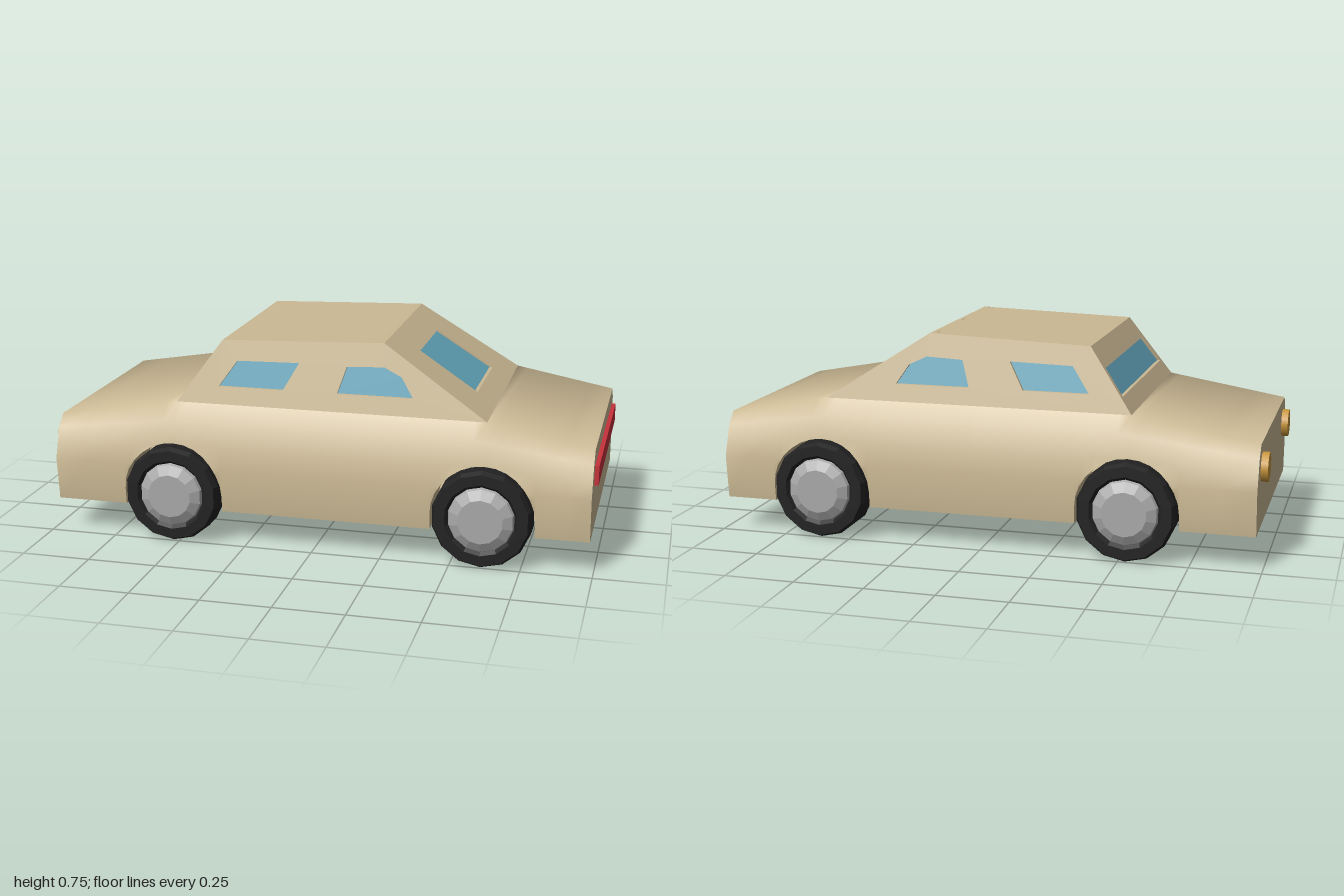
import * as THREE from 'three';
import { toCreasedNormals } from 'three/addons/utils/BufferGeometryUtils.js';

const mat = (color, extra = {}) => new THREE.MeshStandardMaterial({ color, ...extra });
const lerp = THREE.MathUtils.lerp;
const FLOOR = 0.12, BELT = 0.505, AXLES = [-0.525, 0.61], ARCH = 0.185, AXLE_Y = 0.178;
const FRONT = -0.975, REAR = 0.985, WELL_Z = 0.3;

// Height of the body's upper edge along its length
function beltY(x) {
  if (x < AXLES[0]) return lerp(0.43, BELT, (x - FRONT) / (AXLES[0] - FRONT));
  if (x > AXLES[1]) return lerp(BELT, 0.435, (x - AXLES[1]) / (REAR - AXLES[1]));
  return BELT;
}

// Half width of the lower body at a height
function halfWidth(y, top) {
  if (y < 0.28) return lerp(0.475, 0.49, (y - FLOOR) / 0.16);
  const s = (y - 0.28) / (top - 0.28);
  return s < 0.72 ? lerp(0.49, 0.45, s / 0.72) : lerp(0.45, 0.41, (s - 0.72) / 0.28);
}

// Ring of [z, y] points from the +z sill over the top to the -z sill
function section(x, sill) {
  const top = beltY(x);
  const half = [FLOOR, 0.28, ...[0.36, 0.72, 1].map(s => lerp(0.28, top, s))].map(level => {
    const y = Math.max(sill, level);
    return [halfWidth(y, top), y];
  });
  return [...half, ...half.map(([z, y]) => [-z, y]).reverse()];
}

// Points of a wheel arch, from front to back
function archPoints(cx, n = 14) {
  return Array.from({ length: n + 1 }, (_, i) => {
    const a = Math.PI * (1 - i / n);
    return [cx + ARCH * Math.cos(a), AXLE_Y + ARCH * Math.sin(a)];
  });
}

// Surface through rings of equal length; skip(i, j) leaves out a quad
function loft(rings, skip = () => false) {
  const n = rings[0].length, index = [];
  for (let i = 0; i < rings.length - 1; i++)
    for (let j = 0; j < n - 1; j++) {
      if (skip(i, j)) continue;
      const a = i * n + j, b = a + n;
      index.push(a, b, b + 1, a, b + 1, a + 1);
    }
  const g = new THREE.BufferGeometry();
  g.setAttribute('position', new THREE.Float32BufferAttribute(rings.flat(2), 3));
  g.setIndex(index);
  return toCreasedNormals(g, 1.05);
}

// Moves every vertex (u, v, w) through a rule
function remap(g, rule) {
  const p = g.attributes.position;
  for (let i = 0; i < p.count; i++) p.setXYZ(i, ...rule(p.getX(i), p.getY(i), p.getZ(i)));
  g.computeVertexNormals();
  return g;
}

const shapeOf = pts => new THREE.Shape(pts.map(p => new THREE.Vector2(...p)));

export function createModel() {
  const car = new THREE.Group();
  car.name = 'car';
  const paint = mat(0xcbb994, { side: THREE.DoubleSide });
  const glass = mat(0x62a5bb, { side: THREE.DoubleSide });
  const amber = mat(0xc8963c), red = mat(0xc8323c), rubber = mat(0x222222, { flatShading: true });
  const hubMetal = mat(0xaaaaaa, { flatShading: true });
  const add = (name, geometry, material, parent = car) => {
    const m = new THREE.Mesh(geometry, material);
    m.name = name;
    parent.add(m);
    return m;
  };

  // Lower body with bonnet, boot and wheel arches
  const columns = [[FRONT, FLOOR], [-0.85, FLOOR]];
  AXLES.forEach((cx, k) => {
    columns.push([cx - ARCH, FLOOR], ...archPoints(cx), [cx + ARCH, FLOOR]);
    columns.push([k ? 0.9 : 0.04, FLOOR]);
  });
  columns.push([REAR, FLOOR]);
  const underCabin = x => x > AXLES[0] - 0.001 && x < AXLES[1] + 0.001;
  add('lowerBody', loft(
    columns.map(([x, sill]) => section(x, sill).map(([z, y]) => [x, y, z])),
    (i, j) => j === 4 && underCabin(columns[i][0]) && underCabin(columns[i + 1][0])
  ), paint);

  // Nose and tail panels
  add('nosePanel', remap(new THREE.ShapeGeometry(shapeOf(section(FRONT, FLOOR))),
    (u, v) => [FRONT, v, u]), paint);
  add('tailPanel', remap(new THREE.ShapeGeometry(shapeOf(section(REAR, FLOOR))),
    (u, v) => [REAR, v, -u]), paint);

  // Floor, notched at the wheels
  const edge = [[FRONT, 0.475]];
  for (const cx of AXLES)
    edge.push([cx - ARCH, 0.475], [cx - ARCH, WELL_Z], [cx + ARCH, WELL_Z], [cx + ARCH, 0.475]);
  edge.push([REAR, 0.475]);
  const floorShape = shapeOf([...edge, ...edge.map(([x, z]) => [x, -z]).reverse()]);
  add('floor', remap(new THREE.ShapeGeometry(floorShape), (u, v) => [u, FLOOR, v]), paint);

  // Cabin panels with recessed windows; place(u, v, depth) sets them in space
  const DEPTH = 0.02;
  function panel(name, outline, windows, place) {
    const shape = shapeOf(outline);
    windows.forEach(w => shape.holes.push(shapeOf(w)));
    add(name, remap(new THREE.ExtrudeGeometry(shape, { depth: DEPTH, bevelEnabled: false }),
      (u, v, w) => place(u, v, DEPTH - w)), paint);
    windows.forEach(w => add(name + 'Glass',
      remap(new THREE.ShapeGeometry(shapeOf(w)), (u, v) => place(u, v, 0.012)), glass));
  }
  const cabinZ = y => 0.41 - (y - BELT) * 0.265;
  const screenX = y => lerp(-0.525, -0.365, (y - BELT) / 0.225);
  const backX = y => lerp(0.61, 0.23, (y - BELT) / 0.245);
  const sideOutline = [[-0.525, BELT], [0.61, BELT], [0.23, 0.75], [-0.365, 0.73]];
  const sideWindows = [
    [[-0.37, 0.567], [-0.13, 0.567], [-0.075, 0.665], [-0.305, 0.66]],
    [[0.07, 0.567], [0.345, 0.567], [0.3, 0.637], [0.235, 0.668], [0.1, 0.662]],
  ];
  for (const s of [1, -1]) {
    const flip = pts => pts.map(([x, y]) => [s * x, y]);
    panel(s > 0 ? 'leftCabinSide' : 'rightCabinSide', flip(sideOutline), sideWindows.map(flip),
      (u, v, d) => [s * u, v, s * (cabinZ(v) - d)]);
  }
  const trapezoid = (z0, y0, z1, y1) => [[-z0, y0], [z0, y0], [z1, y1], [-z1, y1]];
  panel('windscreen', trapezoid(0.41, BELT, cabinZ(0.73), 0.73),
    [trapezoid(0.37, 0.56, 0.345, 0.655)], (u, v, d) => [screenX(v) + d, v, u]);
  panel('rearScreen', trapezoid(0.41, BELT, cabinZ(0.75), 0.75),
    [trapezoid(0.185, 0.55, 0.173, 0.688)], (u, v, d) => [backX(v) - d, v, -u]);

  // Roof
  add('roof', loft([[-0.365, 0.73], [0.23, 0.75]].map(([x, y]) =>
    [[x, y, cabinZ(y)], [x, y, -cabinZ(y)]])), paint);

  // Lamps
  add('tailLamp', new THREE.BoxGeometry(0.03, 0.07, 0.81), red).position.set(0.985, 0.34, 0);
  for (const s of [1, -1]) {
    const lamp = add('headlamp', new THREE.CylinderGeometry(0.052, 0.052, 0.04, 14), amber);
    lamp.rotation.z = Math.PI / 2;
    lamp.position.set(-0.98, 0.34, s * 0.357);
  }

  // Wheels and arch liners
  const lathe = pts => new THREE.LatheGeometry(pts.map(p => new THREE.Vector2(...p)), 14);
  const tyre = lathe([[0, 0], [0.178, 0], [0.178, 0.085], [0.168, 0.105], [0.13, 0.105], [0.118, 0.09]]);
  const hub = lathe([[0.12, 0.088], [0.114, 0.102], [0.08, 0.12], [0, 0.12]]);
  for (const cx of AXLES)
    for (const s of [1, -1]) {
      const wheel = new THREE.Group();
      wheel.name = 'wheel';
      add('tyre', tyre, rubber, wheel);
      add('hub', hub, hubMetal, wheel);
      wheel.rotation.x = s * Math.PI / 2;
      wheel.position.set(cx, AXLE_Y, s * 0.405);
      car.add(wheel);

      const arch = [[cx - ARCH, FLOOR], ...archPoints(cx), [cx + ARCH, FLOOR]];
      add('archLiner', loft(arch.map(([x, y]) =>
        [[x, y, s * WELL_Z], [x, y, s * halfWidth(y, beltY(x))]])), paint);
    }
  return car;
}
